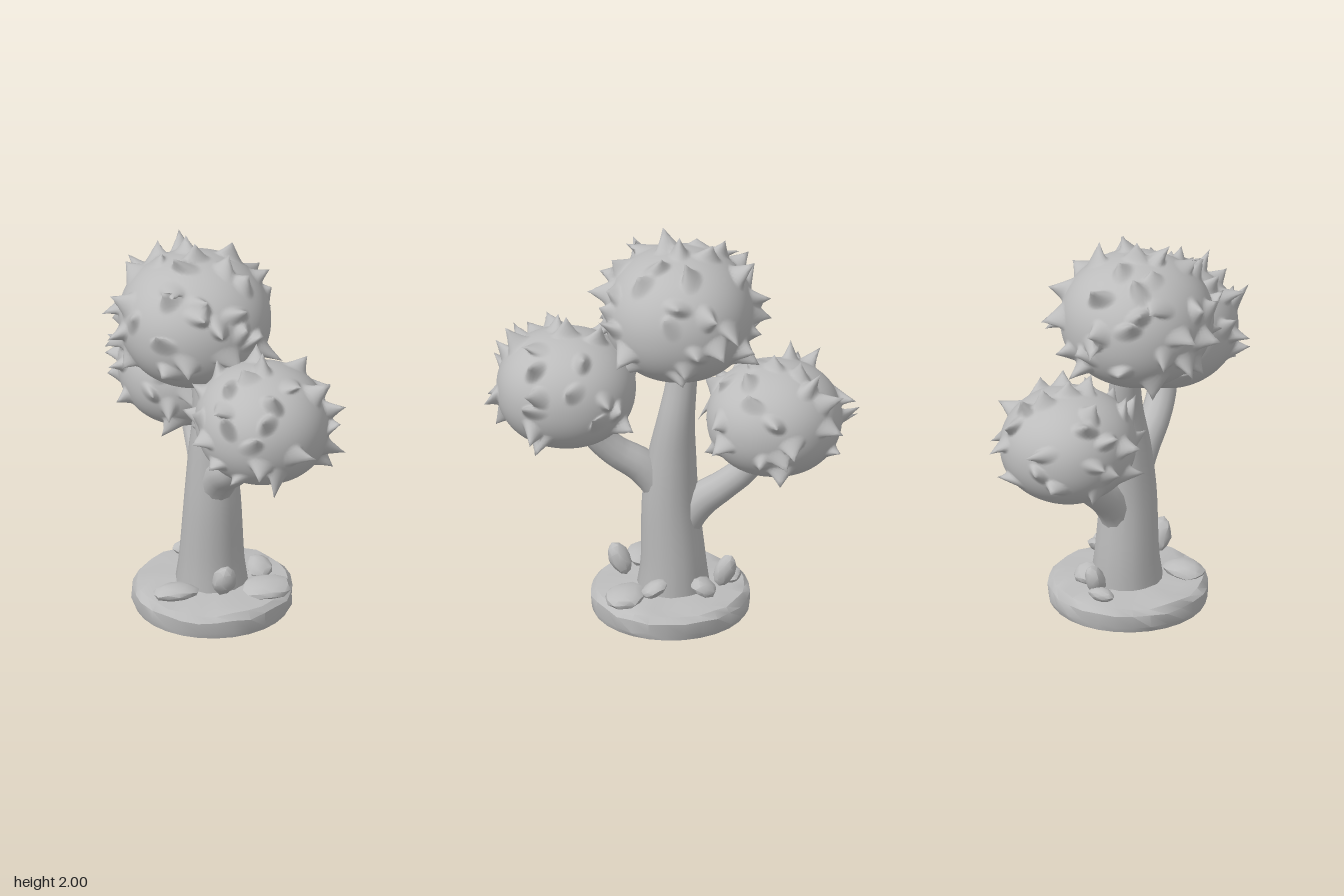
import * as THREE from 'three';
import { mergeVertices, toCreasedNormals } from 'three/addons/utils/BufferGeometryUtils.js';

const clay = new THREE.MeshStandardMaterial({ color: 0xbcbcbc });
clay.name = 'grey clay';

// Small seeded random generator, returning -1..1
function seeded(seed) {
  let s = seed;
  return () => {
    s = (s * 16807) % 2147483647;
    return (s / 2147483647) * 2 - 1;
  };
}

function addMesh(parent, geometry, name) {
  const mesh = new THREE.Mesh(geometry, clay);
  mesh.name = name;
  parent.add(mesh);
  return mesh;
}

// Drops normals and uvs and joins the corners that share a place
function weld(geo) {
  geo.deleteAttribute('uv');
  geo.deleteAttribute('normal');
  return mergeVertices(geo, 1e-4);
}

// Tube whose radius changes along the path; each point is [x, y, z, radius]
function taperedTube(points, rows, sides) {
  const curve = new THREE.CatmullRomCurve3(points.map(([x, y, z]) => new THREE.Vector3(x, y, z)));
  const radii = new THREE.CatmullRomCurve3(points.map((q) => new THREE.Vector3(q[3], 0, 0)),
    false, 'catmullrom');
  const geo = new THREE.TubeGeometry(curve, rows, 1, sides);
  const p = geo.attributes.position;
  const v = new THREE.Vector3();
  for (let i = 0; i < p.count; i++) {
    const u = Math.floor(i / (sides + 1)) / rows;
    const centre = curve.getPointAt(u);
    const r = radii.getPoint(curve.getUtoTmapping(u)).x;
    v.fromBufferAttribute(p, i).sub(centre).multiplyScalar(r).add(centre);
    p.setXYZ(i, v.x, v.y, v.z);
  }
  return geo;
}

// Foliage ball with leaf points drawn out of its surface, fewer underneath
function canopy(centre, size, count, seed) {
  const rand = seeded(seed);
  const geo = weld(new THREE.IcosahedronGeometry(1, 31));
  const p = geo.attributes.position;
  const dirs = Array.from({ length: p.count }, (_, i) => new THREE.Vector3().fromBufferAttribute(p, i).normalize());

  const spikes = [];
  for (let i = 0; i < count; i++) {
    const y = 1 - (1.6 * i) / (count - 1);
    const a = i * 2.39996 + rand() * 0.5;
    const ring = Math.sqrt(Math.max(0, 1 - y * y));
    const aim = new THREE.Vector3(Math.cos(a) * ring, y, Math.sin(a) * ring);
    // The tip sits on the nearest surface point so that it stays sharp
    const tip = dirs.reduce((best, d) => (d.dot(aim) > best.dot(aim) ? d : best));
    const side = new THREE.Vector3(rand(), rand(), rand()).cross(tip).normalize();
    const pull = tip.clone().add(new THREE.Vector3(rand(), rand(), rand()).multiplyScalar(i ? 0.7 : 0));
    pull.normalize().multiplyScalar(0.09 + rand() * 0.03);
    spikes.push({ tip, side, pull });
  }

  const offset = new THREE.Vector3();
  const v = new THREE.Vector3();
  const q = 2.12; // slightly squared ball
  dirs.forEach((d, i) => {
    const round = (Math.abs(d.x) ** q + Math.abs(d.y) ** q + Math.abs(d.z) ** q) ** (-1 / q);
    v.copy(d).multiplyScalar(round).multiply(size).add(centre);
    let strongest = 0;
    let pull = null;
    for (const s of spikes) {
      offset.copy(d).sub(s.tip);
      const along = offset.dot(s.side);
      const across2 = Math.max(0, offset.lengthSq() - along * along);
      const k = 1 - Math.sqrt((along / 0.21) ** 2 + across2 / 0.13 ** 2);
      if (k > strongest) {
        strongest = k;
        pull = s.pull;
      }
    }
    if (pull) v.addScaledVector(pull, strongest ** 1.3);
    p.setXYZ(i, v.x, v.y, v.z);
  });
  geo.computeVertexNormals();
  return geo;
}

// Round stone slab with a chipped rim
function slab() {
  const rand = seeded(77);
  const profile = [[0, 0], [0.385, 0], [0.397, 0.03], [0.397, 0.09], [0.37, 0.12], [0.3, 0.13], [0, 0.135]];
  const geo = weld(new THREE.LatheGeometry(profile.map(([x, y]) => new THREE.Vector2(x, y)), 28));
  const p = geo.attributes.position;
  for (let i = 0; i < p.count; i++) {
    const y = p.getY(i);
    if (y < 0.01) continue;
    const k = 1 + rand() * 0.015;
    p.setXYZ(i, p.getX(i) * k, y + rand() * 0.007, p.getZ(i) * k);
  }
  return toCreasedNormals(geo, 0.6);
}

// Faceted pebble
function pebble(size, seed) {
  const rand = seeded(seed);
  const geo = weld(new THREE.IcosahedronGeometry(1, 1));
  const p = geo.attributes.position;
  for (let i = 0; i < p.count; i++) {
    const k = 1 + rand() * 0.08;
    p.setXYZ(i, p.getX(i) * k, p.getY(i) * k, p.getZ(i) * k);
  }
  geo.scale(...size);
  return toCreasedNormals(geo, 0.7);
}

export function createModel() {
  const tree = new THREE.Group();
  tree.name = 'tree';

  addMesh(tree, slab(), 'stoneBase');

  // Trunk and the two branches
  addMesh(tree, taperedTube([
    [0, 0.1, -0.015, 0.185], [0, 0.25, -0.015, 0.163], [0, 0.6, 0, 0.141], [0, 0.85, -0.01, 0.118],
    [0, 1.05, -0.03, 0.092], [-0.02, 1.25, -0.055, 0.076], [-0.04, 1.45, -0.06, 0.07],
  ], 24, 16), 'trunk');
  addMesh(tree, taperedTube([
    [0, 0.48, 0, 0.08], [0.005, 0.66, 0.045, 0.09], [0.015, 0.78, 0.14, 0.086], [0.035, 0.87, 0.27, 0.077],
    [0.06, 0.98, 0.37, 0.072], [0.09, 1.14, 0.43, 0.065],
  ], 18, 12), 'frontBranch');
  addMesh(tree, taperedTube([
    [0, 0.3, -0.04, 0.08], [0.01, 0.46, -0.065, 0.088], [0.015, 0.59, -0.145, 0.088], [0.02, 0.69, -0.27, 0.075],
    [0.02, 0.79, -0.38, 0.07], [0.01, 0.95, -0.46, 0.065],
  ], 18, 12), 'backBranch');

  // Foliage: centre, half sizes, leaf points
  const foliage = [
    ['topFoliage', [-0.08, 1.585, -0.04], [0.375, 0.33, 0.37], 48, 11],
    ['frontFoliage', [0.115, 1.26, 0.51], [0.33, 0.292, 0.345], 36, 23],
    ['backFoliage', [0, 1.06, -0.515], [0.33, 0.28, 0.335], 36, 37],
  ];
  for (const [name, centre, size, count, seed] of foliage) {
    addMesh(tree, canopy(new THREE.Vector3(...centre), new THREE.Vector3(...size), count, seed), name);
  }

  // Stones on the base: position, half sizes, tilt about x
  const stones = [
    [[-0.01, 0.25, 0.25], [0.06, 0.09, 0.055], 0.45],
    [[0.22, 0.16, 0.21], [0.125, 0.04, 0.1], 0.08],
    [[-0.23, 0.165, 0.15], [0.115, 0.04, 0.08], -0.08],
    [[0.22, 0.2, 0.07], [0.065, 0.035, 0.07], 0.5],
    [[0.12, 0.17, -0.17], [0.08, 0.04, 0.07], -0.4],
    [[0.01, 0.205, -0.27], [0.05, 0.085, 0.055], -0.4],
    [[-0.05, 0.155, -0.3], [0.07, 0.035, 0.05], 0.1],
  ];
  stones.forEach(([at, size, tilt], i) => {
    const stone = addMesh(tree, pebble(size, 101 + i * 13), 'stone');
    stone.position.set(...at);
    stone.rotation.x = tilt;
  });

  return tree;
}
